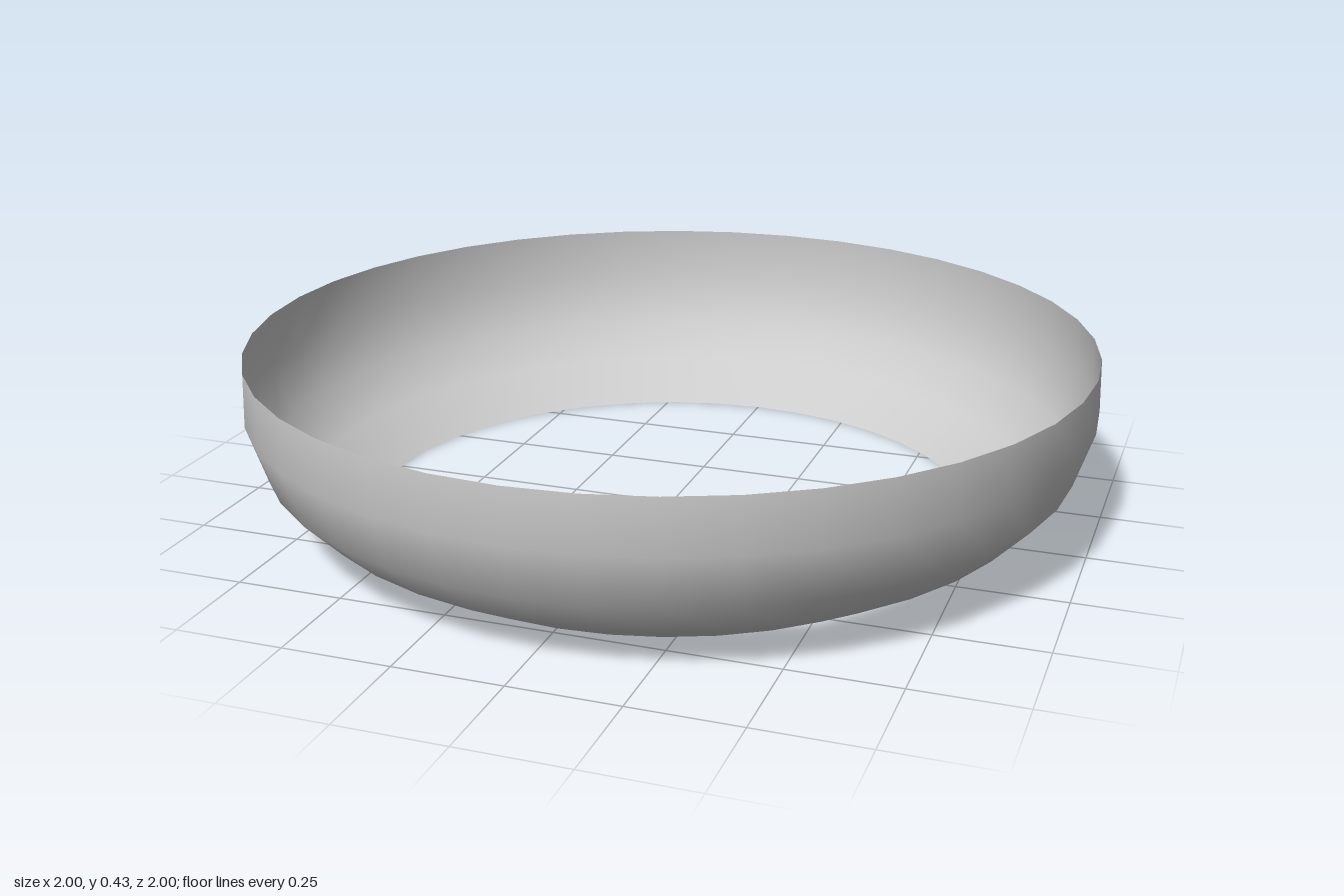
import * as THREE from 'three';

export function createModel() {
  const group = new THREE.Group();
  group.name = 'openRing';

  // Thin curved wall: open at the bottom, flaring up to a near-vertical rim
  const profile = [
    [0.73, 0], [0.87, 0.08], [0.957, 0.17], [1, 0.3], [0.996, 0.425],
  ].map(([r, y]) => new THREE.Vector2(r, y));

  const wall = new THREE.Mesh(
    new THREE.LatheGeometry(profile, 40),
    new THREE.MeshStandardMaterial({ color: 0xcccccc, side: THREE.DoubleSide })
  );
  wall.name = 'curvedWall';
  group.add(wall);
  return group;
}
